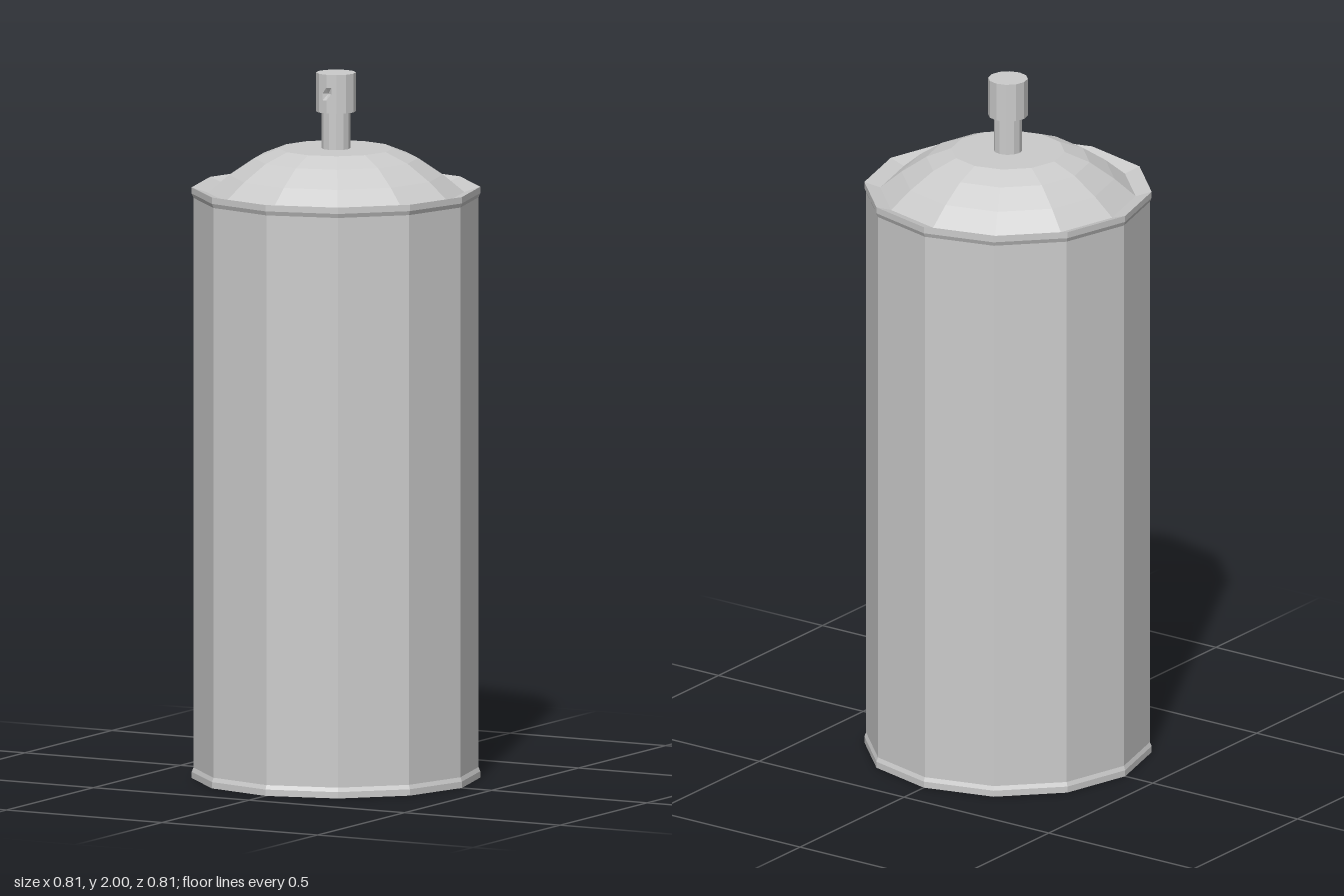
import * as THREE from 'three';

const SIDES = 12;

export function createModel() {
  const group = new THREE.Group();
  const material = new THREE.MeshStandardMaterial({ color: 0xcccccc, flatShading: true });

  const add = (name, geometry, y = 0) => {
    const mesh = new THREE.Mesh(geometry, material);
    mesh.name = name;
    mesh.position.y = y;
    group.add(mesh);
  };
  const lathe = (points) =>
    new THREE.LatheGeometry(points.map(([r, y]) => new THREE.Vector2(r, y)), SIDES);

  // Can wall with flat base and a slightly wider lip at each end
  add('canBody', lathe([
    [0, 0], [0.405, 0], [0.405, 0.018], [0.4, 0.03],
    [0.4, 1.645], [0.405, 1.657], [0.405, 1.675], [0.36, 1.66],
  ]));

  // Domed shoulder inside the upper lip
  add('dome', lathe([[0.36, 1.66], [0.3, 1.71], [0.23, 1.757], [0.16, 1.785], [0, 1.785]]));

  // Valve stem
  add('stem', new THREE.CylinderGeometry(0.04, 0.04, 0.11, SIDES), 1.837);

  // Spray button: 12 flat sides, each split in two so the nozzle dent stays narrow
  const button = new THREE.CylinderGeometry(0.056, 0.056, 0.11, SIDES * 2, 6);
  const p = button.attributes.position;
  const step = Math.PI / SIDES;
  for (let i = 0; i < p.count; i++) {
    const x = p.getX(i), z = p.getZ(i);
    const column = Math.round(Math.atan2(x, z) / step);
    const k = column % 2 ? Math.cos(step) : 1;
    const dent = column === 0 && z > 0.05 && Math.abs(p.getY(i)) < 0.001 ? 0.012 : 0;
    p.setX(i, x * k);
    p.setZ(i, z * k - dent);
  }
  add('sprayButton', button, 1.945);

  return group;
}
